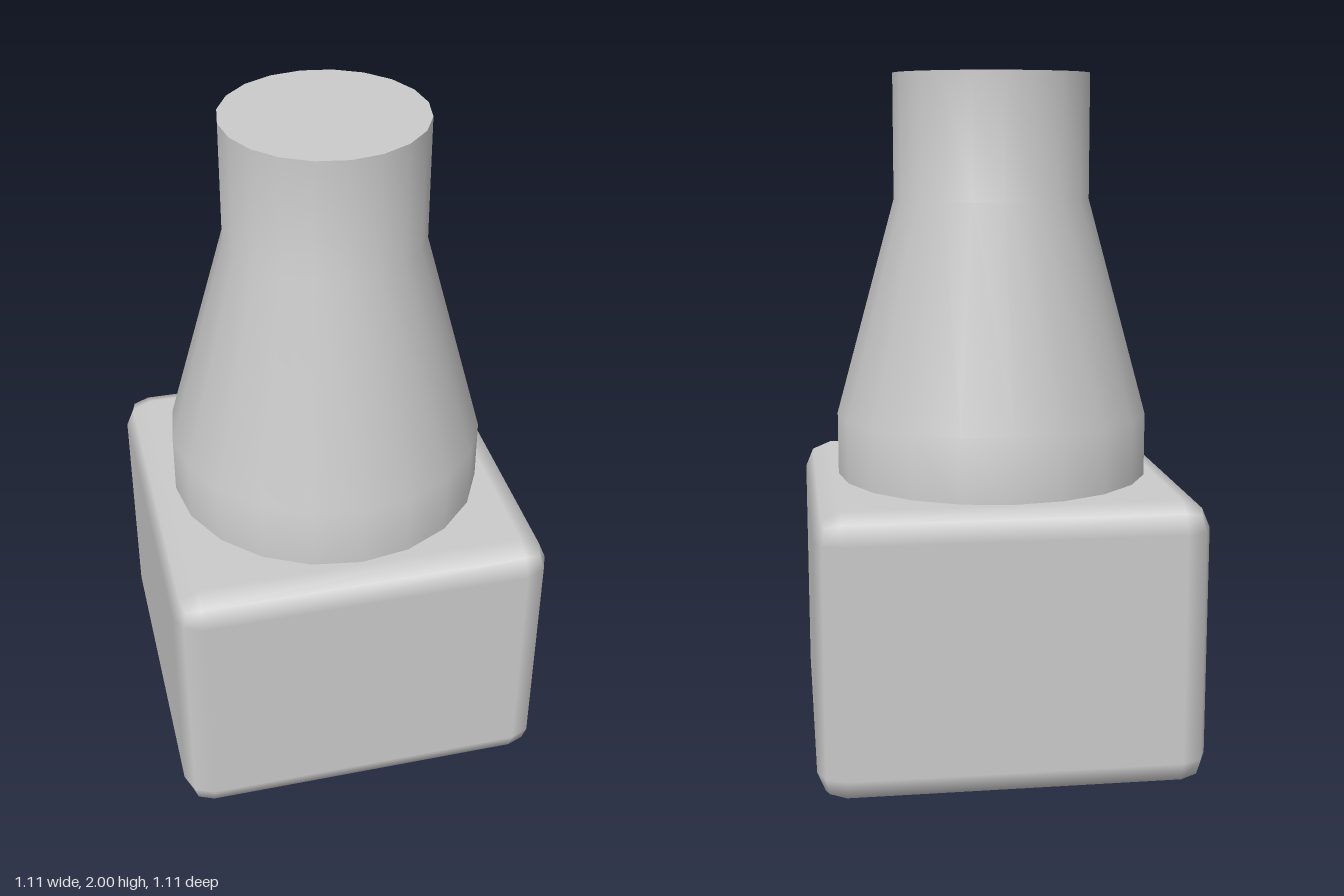
import * as THREE from 'three';
import { RoundedBoxGeometry } from 'three/addons/geometries/RoundedBoxGeometry.js';

const SIDES = 20;

export function createModel() {
  const model = new THREE.Group();
  model.name = 'neckedBlock';
  const material = new THREE.MeshStandardMaterial({ color: 0xcccccc });

  const add = (name, geometry, y) => {
    const mesh = new THREE.Mesh(geometry, material);
    mesh.name = name;
    mesh.position.y = y;
    model.add(mesh);
    return mesh;
  };

  // Square base with softly rounded edges
  const baseHeight = 0.825;
  add('base', new RoundedBoxGeometry(1.106, baseHeight, 1.106, 1, 0.08), baseHeight / 2);

  // Round body: straight foot, tapered shoulder, straight neck
  const profile = [[0.462, 0.8], [0.462, 1.01], [0.288, 1.64], [0.288, 2]]
    .map(([r, y]) => new THREE.Vector2(r, y));
  add('neck', new THREE.LatheGeometry(profile, SIDES), 0);

  // Flat cap, kept separate for a sharp rim
  add('neckCap', new THREE.CircleGeometry(0.288, SIDES).rotateX(-Math.PI / 2), 2);

  return model;
}
